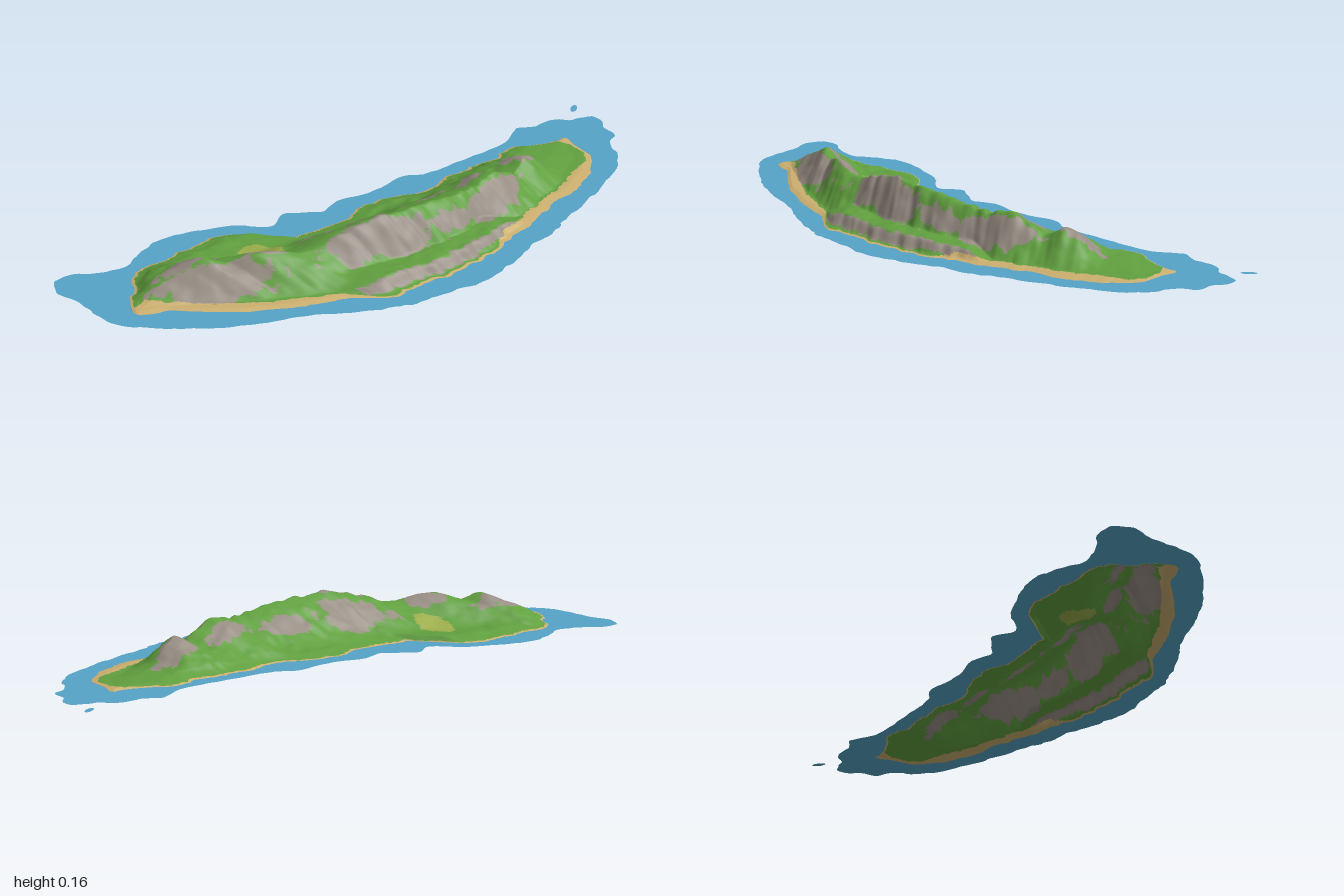
import * as THREE from 'three';

const mat = (name, color) => Object.assign(
  new THREE.MeshStandardMaterial({ color, side: THREE.DoubleSide }), { name });

// Tables along z (north is -z): [z, value, z, value, ...]
const WEST = [-.74, .48, -.70, .47, -.66, .42, -.6, .33, -.5, .31, -.4, .25, -.3, .19, -.2, .17, -.15, .14, -.1, .07, 0, -.005,
  .1, -.01, .2, -.07, .3, -.13, .345, -.32, .4, -.39, .5, -.43, .6, -.47, .7, -.52, .75, -.5, .8, -.47, .85, -.455, .9, -.42, .915, -.4];
const EAST = [-.74, .5, -.7, .54, -.66, .61, -.6, .64, -.5, .655, -.4, .65, -.3, .61, -.2, .59, -.1, .575, 0, .545, .1, .53, .2, .49,
  .3, .44, .4, .37, .48, .34, .5, .32, .55, .2, .6, .14, .65, .09, .7, .02, .75, -.06, .8, -.16, .85, -.3, .9, -.36, .915, -.38];
const RIDGE_X = [-.74, .49, -.6, .49, -.5, .48, -.4, .46, -.3, .45, -.2, .42, -.1, .385, 0, .35, .1, .3, .2, .24, .3, .17, .4, .09,
  .5, 0, .6, -.12, .67, -.25, .72, -.3, .8, -.38, .9, -.395, .915, -.39];
const RIDGE_Y = [-.74, .003, -.6, .014, -.5, .02, -.46, .045, -.42, .09, -.36, .11, -.3, .075, -.24, .11, -.19, .135, -.1, .12, 0, .128,
  .1, .145, .2, .152, .27, .16, .33, .145, .4, .125, .45, .1, .5, .092, .55, .115, .6, .12, .645, .085, .68, .115, .74, .08, .8, .045, .86, .008, .915, .003];
const EAST_BEACH = [-.74, .03, -.6, .02, -.55, .05, -.4, .06, -.3, .04, -.1, .045, 0, .025, .06, .012, .5, .012, .56, .05, .7, .08, .82, .1, .915, .05];
const TERRACE = [-.74, 0, -.15, 0, -.05, .032, .2, .04, .45, .04, .56, 0, .915, 0];

// Bare rock patches: x, z, half length, half width, direction x, direction z
const ROCKS = [
  [.06, .27, .16, .055, .46, -.5], [.22, .02, .13, .035, .4, -.6], [.35, -.21, .1, .035, .2, -.8], [.43, -.42, .08, .045, .2, -.7],
  [-.1, .55, .07, .028, .8, -.5], [-.33, .7, .11, .04, .6, -.7], [.2, .33, .22, .045, .6, -.65], [.45, -.14, .15, .045, .25, -.9],
  [.37, .08, .09, .025, .4, -.8], [-.2, .71, .2, .05, .7, -.45]];

const SHORE_WATER = [
  .54, -.94, .6, -.87, .64, -.85, .65, -.77, .7, -.7, .73, -.6, .72, -.45, .71, -.35, .68, -.2, .67, -.1, .63, 0, .62, .1, .59, .2,
  .55, .3, .47, .4, .4, .5, .3, .58, .2, .65, .12, .7, 0, .8, -.12, .88, -.28, .95, -.42, .995, -.52, .965, -.6, .93, -.7, .9,
  -.735, .85, -.71, .8, -.63, .75, -.57, .68, -.56, .58, -.54, .48, -.44, .37, -.35, .3, -.23, .25, -.22, .15, -.12, .1, -.08, -.02,
  0, -.11, .04, -.23, .12, -.3, .19, -.42, .24, -.5, .3, -.62, .3, -.73, .36, -.78, .4, -.85, .46, -.88];

const clamp = v => Math.min(1, Math.max(0, v));
const smooth = v => { v = clamp(v); return v * v * (3 - 2 * v); };

function at(table, z) {
  let i = 0;
  while (i < table.length - 4 && table[i + 2] < z) i += 2;
  return table[i + 1] + (table[i + 3] - table[i + 1]) * clamp((z - table[i]) / (table[i + 2] - table[i]));
}

// Value noise, about -1..1
const hash = (i, j) => { const s = Math.sin(i * 127.1 + j * 311.7) * 43758.5453; return (s - Math.floor(s)) * 2 - 1; };
function noise(x, z, scale) {
  x *= scale; z *= scale;
  const i = Math.floor(x), j = Math.floor(z), u = smooth(x - i), v = smooth(z - j);
  const a = hash(i, j) * (1 - u) + hash(i + 1, j) * u, b = hash(i, j + 1) * (1 - u) + hash(i + 1, j + 1) * u;
  return a * (1 - v) + b * v;
}

const ROWS = 220, HALF = 42, COLS = HALF * 2, Z0 = -.74, Z1 = .915;

// One cross-section of the island at a given z
function section(z) {
  const taper = clamp(Math.min(z - Z0, Z1 - z) / .05);
  const wobble = k => taper * (.007 * noise(k, z, 30) + .004 * noise(k + 9, z, 75));
  return { z, w: at(WEST, z) + wobble(1), e: at(EAST, z) + wobble(2),
    r: at(RIDGE_X, z) + .6 * wobble(3), h: at(RIDGE_Y, z) * (1 + .04 * noise(5, z, 40)), t: at(TERRACE, z) };
}

function heightAt(s, x) {
  const crags = noise(x, s.z, 16) * .6 + noise(x, s.z, 38) * .4;
  if (x <= s.r) {
    // west: ridge slope falling to a low coastal plain
    const shore = x - s.w, up = clamp(1 - (s.r - x) / Math.min(.25, .92 * (s.r - s.w) + .001));
    const plain = Math.min(.018, shore * .28, s.h) * (1 + .35 * crags);
    return plain + (s.h - plain) * (.4 * up + .6 * smooth(up)) + crags * .07 * s.h * 4 * up * (1 - up);
  }
  // east: steep face, then a terrace ending in a sea cliff
  const v = clamp((x - s.r) / (s.e - s.r + 1e-4));
  const beach = Math.min(.3, at(EAST_BEACH, s.z) / (s.e - s.r + 1e-4));
  const foot = s.t > 0 ? 1 - beach - .35 * Math.min(1, s.t / .03) : 1 - beach;
  const down = clamp(1 - v / foot);
  const face = s.h * (.55 * down + .45 * smooth(down)) + crags * .09 * s.h * 4 * down * (1 - down);
  const shelf = s.t * (1 + .15 * crags) * smooth((1 - v - .06) / .2);
  return Math.max(face, shelf, Math.min(.005, (s.e - x) * .15));
}

// Ground cover of one spot: 0 grass, 1 rock, 2 sand, 3 meadow
function cover(x, z) {
  const s = section(z), n = noise(x, z, 28) * .6 + noise(x, z, 70) * .4;
  if (z < -.695 || z > .9) return 2;
  if (x - s.w < .011 + .006 * n) return 2;
  if (s.e - x < at(EAST_BEACH, z) * (1 + .25 * n)) return 2;
  if (((x + .17) / .078) ** 2 + ((z - .455) / .055) ** 2 < 1 + .3 * n) return 3;
  const v = (x - s.r) / (s.e - s.r);
  if (s.t > .015 && Math.abs(v - .82) < .075 + .07 * n) return 1;
  for (const [cx, cz, len, wid, dx, dz] of ROCKS) {
    const l = Math.hypot(dx, dz), a = ((x - cx) * dx + (z - cz) * dz) / l, b = ((x - cx) * dz - (z - cz) * dx) / l;
    if ((a / len) ** 2 + (b / wid) ** 2 < 1 + 1.1 * n) return 1;
  }
  return 0;
}

function flatSheet(shape, material, name) {
  const mesh = new THREE.Mesh(new THREE.ShapeGeometry(shape).rotateX(-Math.PI / 2), material);
  mesh.name = name;
  return mesh;
}

export function createModel() {
  const island = new THREE.Group();
  island.name = 'island';
  const covers = [['grassSlopes', mat('grass green', 0x61a03f)], ['rockFaces', mat('rock grey', 0x978d83)],
    ['sandBeach', mat('sand', 0xcdb070)], ['meadow', mat('meadow yellow green', 0x9cae4c)]];
  const water = mat('shallow water blue', 0x55a4c7);

  // Terrain grid: the middle column follows the ridge
  const pos = [], westCoast = [], eastCoast = [];
  for (let i = 0; i <= ROWS; i++) {
    const s = section(Z0 + (Z1 - Z0) * i / ROWS);
    for (let j = 0; j <= COLS; j++) {
      const x = j <= HALF ? s.w + (s.r - s.w) * j / HALF : s.r + (s.e - s.r) * (j - HALF) / HALF;
      const rim = j === 0 || j === COLS || i === 0 || i === ROWS;
      pos.push(x, rim ? 0 : Math.max(.001, heightAt(s, x)), s.z);
    }
    westCoast.push(new THREE.Vector2(s.w, -s.z));
    eastCoast.push(new THREE.Vector2(s.e, -s.z));
  }
  const lists = [[], [], [], []], all = [];
  const addFace = (...f) => {
    const mid = k => (pos[f[0] * 3 + k] + pos[f[1] * 3 + k] + pos[f[2] * 3 + k]) / 3;
    lists[cover(mid(0), mid(2))].push(...f);
    all.push(...f);
  };
  for (let i = 0; i < ROWS; i++) for (let j = 0; j < COLS; j++) {
    const a = i * (COLS + 1) + j, b = a + COLS + 1;
    addFace(a, b, a + 1);
    addFace(a + 1, b, b + 1);
  }
  const terrain = new THREE.BufferGeometry();
  terrain.setAttribute('position', new THREE.Float32BufferAttribute(pos, 3));
  terrain.setIndex(all);
  terrain.computeVertexNormals();

  // One mesh per ground cover, sharing points and normals
  covers.forEach(([name, material], k) => {
    const geo = new THREE.BufferGeometry();
    geo.setAttribute('position', terrain.attributes.position);
    geo.setAttribute('normal', terrain.attributes.normal);
    geo.setIndex(lists[k]);
    const mesh = new THREE.Mesh(geo, material);
    mesh.name = name;
    island.add(mesh);
  });

  // Shallow water ring around the coast
  const pts = [];
  for (let i = 0; i < SHORE_WATER.length; i += 2) pts.push(new THREE.Vector3(SHORE_WATER[i], -SHORE_WATER[i + 1], 0));
  const edge = new THREE.CatmullRomCurve3(pts, true).getPoints(300).slice(0, -1)
    .map(p => new THREE.Vector2(p.x + .007 * noise(p.x, p.y, 35), p.y + .005 * noise(p.y, p.x, 35)));
  const ring = new THREE.Shape(edge);
  ring.holes.push(new THREE.Path([...westCoast, ...eastCoast.reverse()]));
  island.add(flatSheet(ring, water, 'shallowWater'));

  // Small separate shoal off the north end
  const shoal = new THREE.Shape().absellipse(.443, .968, .012, .027, 0, Math.PI * 2, false, .15);
  island.add(flatSheet(shoal, water, 'northShoal'));
  return island;
}
